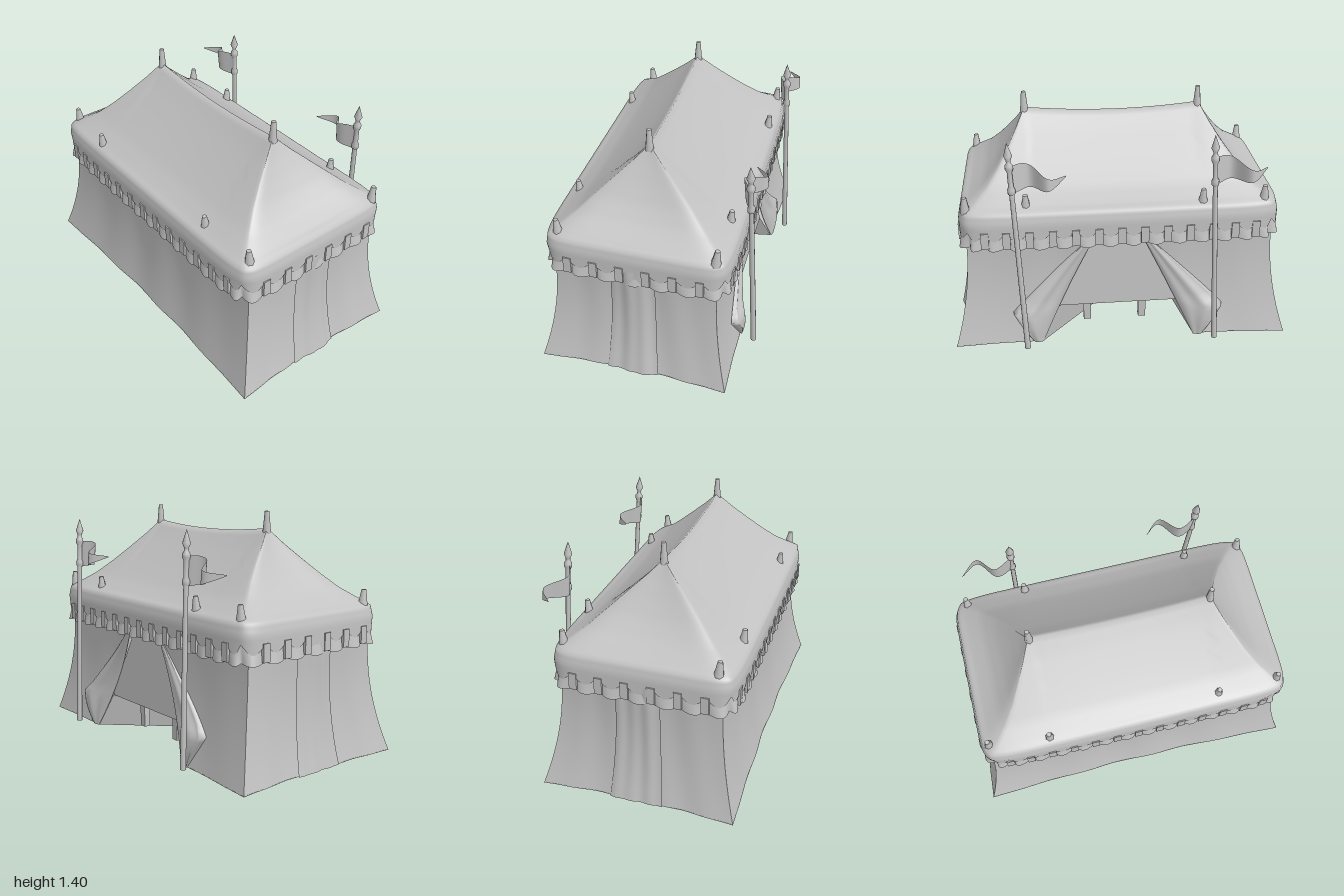
import * as THREE from 'three';
import { mergeVertices } from 'three/addons/utils/BufferGeometryUtils.js';

const CX = -0.04;
const canvas = new THREE.MeshStandardMaterial({ color: 0xc2c2c2, side: THREE.DoubleSide });
canvas.name = 'grey canvas';

// Smooth sheet from a rule f(u, v) -> [x, y, z]
function sheet(f, nu, nv) {
  const pos = [], idx = [];
  for (let j = 0; j <= nv; j++)
    for (let i = 0; i <= nu; i++) pos.push(...f(i / nu, j / nv));
  for (let j = 0; j < nv; j++)
    for (let i = 0; i < nu; i++) {
      const a = j * (nu + 1) + i, b = a + nu + 1;
      idx.push(a, a + 1, b, a + 1, b + 1, b);
    }
  let g = new THREE.BufferGeometry();
  g.setAttribute('position', new THREE.Float32BufferAttribute(pos, 3));
  g.setIndex(idx);
  g = mergeVertices(g, 1e-5);
  g.computeVertexNormals();
  return g;
}

// Unit square outline: s 0-1 front, 1-2 left (+x), 2-3 back, 3-4 right
function square(s) {
  const k = Math.min(3, Math.floor(s)), f = 2 * (s - k) - 1;
  return [[f, 1], [1, -f], [-f, -1], [-1, f]][k];
}
function rounded(s, amount) {
  const [a, b] = square(s);
  const n = 1 / Math.pow(Math.abs(a) ** 11 + Math.abs(b) ** 11, 1 / 11);
  const m = 1 + (n - 1) * amount;
  return [a * m, b * m];
}

// Scallop wave: 0 at each tab, 1 between tabs; 7 per end, 14 per side
function scallop(u) {
  const s = u * 4, k = Math.min(3, Math.floor(s));
  return Math.abs(Math.sin(Math.PI * (s - k) * (k % 2 ? 14 : 7)));
}

// Flared wall, bowed out at the top and in at the foot; side k, fraction f along it
const flare = y => Math.max(0, 1 - y / 0.66) ** 2;
const wallHx = y => 0.46 + 0.1 * flare(y);
const wallHz = y => 0.89 + 0.105 * flare(y);
function wallPoint(k, f, y, out = 0) {
  const [a, b] = square(k + Math.min(f, 0.999999));
  const low = Math.max(0, 1 - y / 0.66);
  const bow = 0.018 - 0.048 * low + 0.005 * Math.sin(f * 26 + k * 2 + y * 2);
  const d = out + Math.sin(Math.PI * f) * bow;
  const skew = a > 0 ? -0.015 * a * b * low : 0;
  const x = CX + a * wallHx(y) + skew, z = b * wallHz(y);
  return k % 2 ? [x + Math.sign(a) * d, y, z] : [x, y, z + Math.sign(b) * d];
}

// Doorway edges on the +x side
const DOOR_Z = 0.02;
const doorHalf = y => 0.455 - 0.469 * Math.min(y, 0.66);
const doorF = (y, sign) => (1 - (DOOR_Z + sign * doorHalf(y)) / wallHz(y)) / 2;
const curtainWidth = y => y > 0.2 ? 0.02 + 0.24 * (0.68 - y) / 0.48 : 0.05 + 0.21 * y / 0.2;

// Piecewise-linear lookup
function pick(list, t) {
  const p = t * (list.length - 1), i = Math.min(list.length - 2, Math.floor(p));
  return list[i] + (list[i + 1] - list[i]) * (p - i);
}

export function createModel() {
  const group = new THREE.Group();
  const add = (name, geo, parent = group) => {
    const m = new THREE.Mesh(geo, canvas);
    m.name = name;
    parent.add(m);
    return m;
  };

  // Walls
  const H = 0.74;
  for (const [k, name] of [[0, 'frontWall'], [2, 'backWall'], [3, 'rightWall']])
    add(name, sheet((u, v) => wallPoint(k, u, v * H), 48, 14));
  add('leftWallFront', sheet((u, v) => wallPoint(1, u * doorF(v * H, 1), v * H), 20, 14));
  add('leftWallBack', sheet((u, v) => {
    const f = doorF(v * H, -1);
    return wallPoint(1, f + (1 - f) * u, v * H);
  }, 20, 14));

  // Overlapping centre cloths at both ends
  for (const k of [0, 2])
    add('endCloth', sheet((u, v) => wallPoint(k, 0.355 + 0.275 * u, v * H,
      0.007 + 0.014 * Math.sin(Math.PI * u) + 0.003 * Math.sin(u * 19)), 24, 10));

  // Floor with a wedge cut out behind the doorway
  const apex = [-0.33, 0, -0.28];
  const outline = [];
  const trace = (k, f0, f1) => {
    for (let i = 0; i <= 12; i++) {
      const p = wallPoint(k, f0 + (f1 - f0) * i / 12, 0);
      outline.push(new THREE.Vector2(p[0], p[2]));
    }
  };
  trace(0, 0, 1);
  trace(1, 0.02, doorF(0, 1));
  outline.push(new THREE.Vector2(apex[0], apex[2]));
  trace(1, doorF(0, -1), 1);
  trace(2, 0.02, 1);
  trace(3, 0.02, 0.98);
  const floor = new THREE.ShapeGeometry(new THREE.Shape(outline));
  floor.rotateX(Math.PI / 2);
  add('floor', floor).position.y = 0.003;

  // Doorway backing and sloping cavity
  const panelY = 0.21;
  const edge = (y, s) => [0.435 - 0.06 * (y - panelY), y, DOOR_Z + s * (doorHalf(y) + 0.012)];
  const mix = (p, q, t) => p.map((c, i) => c + (q[i] - c) * t);
  add('doorPanel', sheet((u, v) => {
    const y = panelY + (0.72 - panelY) * v;
    return mix(edge(y, 1), edge(y, -1), u);
  }, 4, 6));
  const A = edge(panelY, 1), B = edge(panelY, -1);
  add('cavityCeiling', sheet((u, v) => mix(mix(A, B, u), apex, v), 4, 4));
  for (const s of [1, -1]) {
    const foot = wallPoint(1, doorF(0, s), 0);
    add('cavitySide', sheet((u, v) => mix(mix(foot, edge(panelY, s), u), apex, v), 2, 2));
    // Tied-back door curtain; its last strip folds back to the wall
    add('doorCurtain', sheet((u, v) => {
      const y = 0.68 * v, w = curtainWidth(y);
      const t = Math.min(1, u / 0.9), fold = Math.max(0, (u - 0.9) / 0.1);
      const z = DOOR_Z + s * (doorHalf(y) + w * (t + 0.03 * fold));
      const p = wallPoint(1, (1 - z / wallHz(y)) / 2, y, 0.004);
      const swell = 0.1 * Math.sin(Math.PI * t) + 0.12 * t + 0.025 * Math.sin(t * 12);
      const kick = y < 0.25 ? 0.025 * Math.sin(Math.PI * y / 0.25) * t : 0;
      p[0] += (w * swell + kick) * (1 - fold);
      return p;
    }, 20, 24));
  }

  // Stool legs inside the doorway
  for (const x of [0.32, 0.12])
    for (const z of [0.2, -0.14])
      add('stoolLeg', new THREE.BoxGeometry(0.04, 0.17, 0.045)).position.set(x, 0.115, z);

  // Roof with scalloped skirt; canvas sags between the poles and along the ridge
  const rx = [0.53, 0.53, 0.515, 0.46, 0.37, 0.28, 0.185, 0.09, 0];
  const rz = [0.93, 0.93, 0.915, 0.86, 0.775, 0.70, 0.635, 0.575, 0.52];
  const ry = [0.73, 0.80, 0.86, 0.895, 0.955, 1.03, 1.11, 1.19, 1.272];
  add('roof', sheet((u, v) => {
    const s = u * 4, k = Math.min(3, Math.floor(s)), f = s - k;
    const [a, b] = rounded(s, 1 - v);
    const z = b * pick(rz, v), az = Math.abs(z);
    let y = pick(ry, v);
    if (v === 0) y = 0.755 - 0.055 * scallop(u);
    let sag = Math.sin(Math.PI * f);
    if (k % 2 && az < 0.5) sag = 0.55 + 0.45 * Math.cos(Math.PI * az);
    if (v > 0.3) y -= 0.02 * Math.sin(Math.PI * (v - 0.25) / 0.75) * sag;
    y += 0.03 * v ** 3 * b * b;
    return [CX - 0.01 * v + a * pick(rx, v), y, 0.01 * v + z];
  }, 224, 24));

  // Pleated valance under the skirt
  add('valance', sheet((u, v) => {
    const wave = scallop(u);
    const [a, b] = rounded(u * 4, 0.9);
    const o = 0.028 * wave * (1 - v);
    return [CX + a * (0.513 + o), 0.655 - 0.012 * wave + 0.125 * v, b * (0.913 + o)];
  }, 448, 4));

  // Hanging tabs between scallops
  for (let k = 0; k < 4; k++) {
    const n = k % 2 ? 14 : 7;
    for (let i = 1; i < n; i++) {
      const [a, b] = rounded(k + i / n, 0.9);
      const tab = add('valanceTab', new THREE.BoxGeometry(0.045, 0.1, 0.03));
      tab.position.set(CX + a * 0.522, 0.707, b * 0.922);
      tab.rotation.y = k * Math.PI / 2;
    }
  }

  // Ridge spires
  for (const z of [0.53, -0.505])
    add('ridgeSpire', new THREE.CylinderGeometry(0.013, 0.025, 0.13, 8)).position.set(-0.05, 1.333, z);

  // Roof pegs
  const pegs = [[-0.47, -0.87], [0.42, -0.83], [-0.51, -0.52], [0.43, -0.47],
    [-0.49, 0.5], [0.41, 0.54], [-0.48, 0.86], [0.41, 0.88]];
  for (const [x, z] of pegs) {
    const peg = add('roofPeg', new THREE.CylinderGeometry(0.014, 0.03, 0.1, 7));
    peg.position.set(x, 0.905, z);
    peg.rotation.z = x > 0 ? -0.08 : 0.08;
  }

  // Flag poles with spear finials and waving pennants
  const profile = [[0, 0], [0.017, 0], [0.014, 1.0], [0.021, 1.005], [0.022, 1.03], [0.015, 1.045],
    [0.014, 1.13], [0.023, 1.15], [0.023, 1.17], [0.013, 1.185], [0.013, 1.2], [0.024, 1.225], [0, 1.3]]
    .map(p => new THREE.Vector2(...p));
  const wave = new THREE.CatmullRomCurve3([[0.518, 0.61], [0.475, 0.51], [0.58, 0.41], [0.5, 0.31]]
    .map(([x, z]) => new THREE.Vector3(x, 0, z)));
  const halfHeight = [0.082, 0.077, 0.065, 0.05, 0.036, 0.02, 0.003];
  for (const dz of [0, -1.12]) {
    const banner = new THREE.Group();
    banner.name = 'flagPole';
    banner.position.z = dz;
    const pole = add('pole', new THREE.LatheGeometry(profile, 10), banner);
    pole.position.set(0.585, 0.025, 0.57);
    pole.quaternion.setFromUnitVectors(new THREE.Vector3(0, 1, 0),
      new THREE.Vector3(-0.07, 1.29, 0.05).normalize());
    add('pennant', sheet((u, v) => {
      const p = wave.getPoint(u), h = pick(halfHeight, u) * (2 * v - 1);
      return [p.x - 0.1 * h, 1.1 + h + 0.008 * Math.sin(u * 7), p.z];
    }, 24, 4), banner);
    group.add(banner);
  }
  return group;
}
